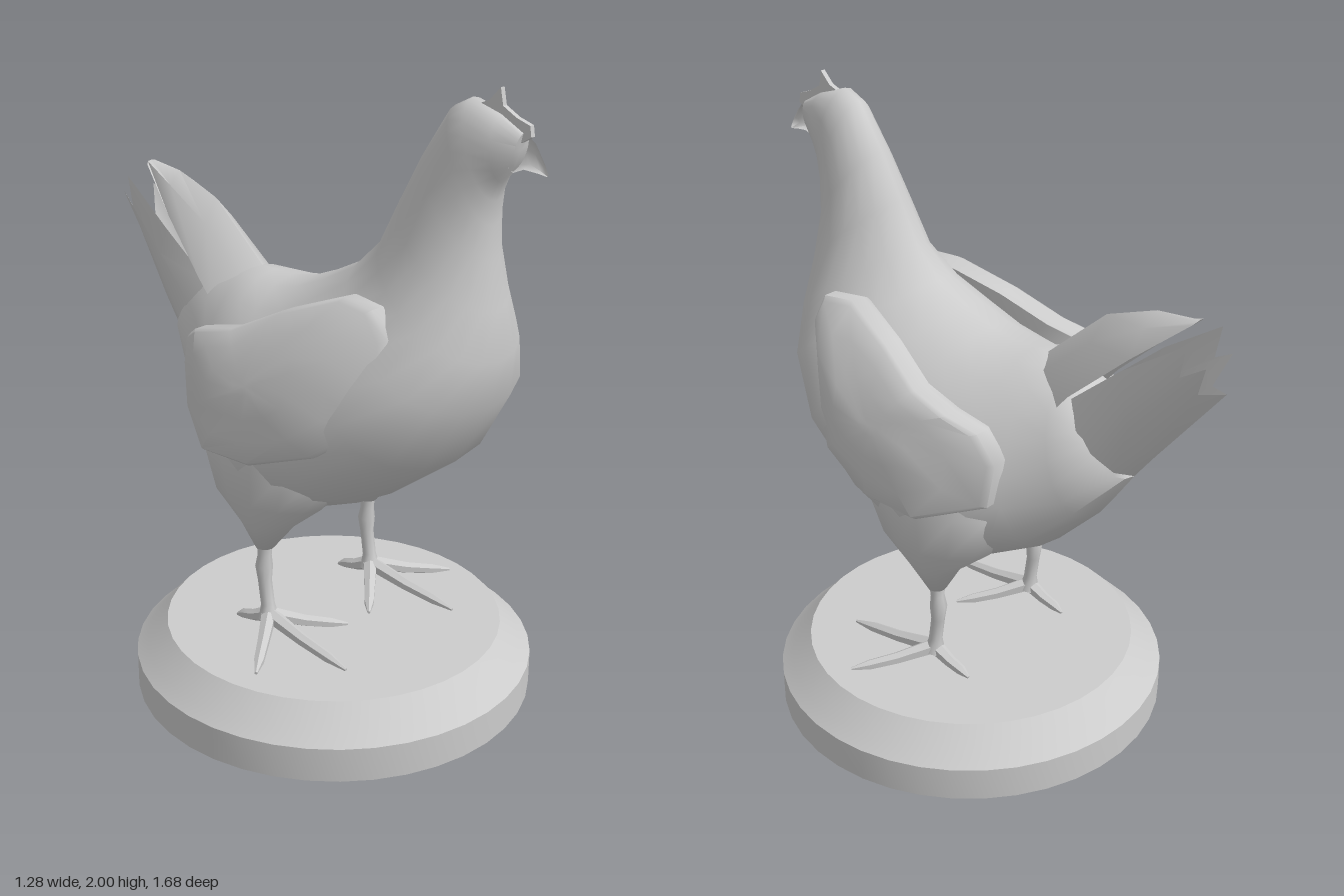
import * as THREE from 'three';
import { toCreasedNormals } from 'three/addons/utils/BufferGeometryUtils.js';

const V = (x, y, z) => new THREE.Vector3(x, y, z);
const solid = new THREE.MeshStandardMaterial({ color: 0xcccccc });
const thin = new THREE.MeshStandardMaterial({ color: 0xcccccc, side: THREE.DoubleSide });

// Skin a list of cross-sections; closed rings get end caps, open rows make a sheet
function loft(rings, closed = true, crease = 0.9) {
  const n = rings[0].length, pts = rings.flat(), idx = [];
  const cols = closed ? n : n - 1;
  for (let i = 0; i < rings.length - 1; i++) {
    for (let j = 0; j < cols; j++) {
      const k = (j + 1) % n, a = i * n + j, b = i * n + k;
      idx.push(a, b, b + n, a, b + n, a + n);
    }
  }
  if (closed) {
    for (const end of [0, rings.length - 1]) {
      const c = pts.length;
      pts.push(rings[end].reduce((s, p) => s.add(p), V(0, 0, 0)).divideScalar(n));
      for (let j = 0; j < n; j++) {
        const a = end * n + j, b = end * n + (j + 1) % n;
        if (end) idx.push(c, a, b); else idx.push(c, b, a);
      }
    }
  }
  const g = new THREE.BufferGeometry().setFromPoints(pts);
  g.setIndex(idx);
  g.computeVertexNormals();
  return toCreasedNormals(g, crease);
}

// Round limb through points [x, y, z, radius]
function limb(path, sides = 8) {
  const p = path.map(q => V(q[0], q[1], q[2]));
  return loft(p.map((c, i) => {
    const d = p[Math.min(i + 1, p.length - 1)].clone().sub(p[Math.max(i - 1, 0)]).normalize();
    const ref = Math.abs(d.y) > 0.8 ? V(0, 0, 1) : V(0, 1, 0);
    const e1 = ref.addScaledVector(d, -ref.dot(d)).normalize();
    const e2 = d.clone().cross(e1);
    return Array.from({ length: sides }, (_, j) => {
      const t = j / sides * Math.PI * 2;
      return c.clone().addScaledVector(e1, path[i][3] * Math.cos(t)).addScaledVector(e2, path[i][3] * Math.sin(t));
    });
  }));
}

// Body-style loft from rows [topZ, topY, bottomZ, bottomY, halfWidth, pear]
function sections(rows, sides = 20) {
  return loft(rows.map(([tz, ty, bz, by, w, k = 0]) => Array.from({ length: sides }, (_, j) => {
    const t = j / sides * Math.PI * 2, u = Math.cos(t);
    return V(w * Math.sin(t) * (1 - k * u), (ty + by) / 2 + u * (ty - by) / 2, (tz + bz) / 2 + u * (tz - bz) / 2);
  })), true, 1.2);
}

// Sheet symmetric about x = 0, from half rows that start on the centre line
const mirrored = rows => loft(rows.map(r => [
  ...r.slice(1).reverse().map(([x, y, z]) => V(-x, y, z)),
  ...r.map(([x, y, z]) => V(x, y, z))]), false);

// Linear interpolation in a table of [key, value] with rising keys
function table(t, k) {
  if (k <= t[0][0]) return t[0][1];
  for (let i = 1; i < t.length; i++) {
    if (k <= t[i][0]) return THREE.MathUtils.mapLinear(k, t[i - 1][0], t[i][0], t[i - 1][1], t[i][1]);
  }
  return t[t.length - 1][1];
}

const wingOutline = [[.5, 1.16], [.51, 1.31], [.46, 1.39], [.35, 1.4], [.16, 1.33], [0, 1.25], [-.14, 1.22],
  [-.22, 1.17], [-.265, 1.07], [-.245, .93], [-.06, .87], [.14, .88], [.35, .95], [.49, 1.05]];
const wingByY = [[.87, .435], [1.07, .43], [1.2, .385], [1.33, .305], [1.4, .25]];
const wingByZ = [[-.27, .3], [-.05, .43], [.18, .43], [.3, .405], [.42, .335], [.52, .24]];

function wing(s) {
  const outline = s > 0 ? [...wingOutline].reverse() : wingOutline;
  // [scale of the outline, offset from the outer surface]
  const rings = [[.97, -.08], [1, -.055], [1, -.01], [.96, 0], [.7, .004], [.4, .006], [.1, .006]];
  return loft(rings.map(([k, dx]) => outline.map(([oz, oy]) => {
    const z = .12 + (oz - .12) * k, y = 1.12 + (oy - 1.12) * k;
    return V(s * (Math.min(table(wingByY, y), table(wingByZ, z)) + dx), y, z);
  })));
}

function thigh(s) {
  // [y, centre x, centre z, radius x, radius z]
  const rows = [[.51, .24, .02, .03, .03], [.6, .23, .03, .085, .09], [.7, .215, .03, .145, .21],
    [.86, .2, .04, .185, .29], [1.05, .18, .04, .16, .24]];
  return loft(rows.map(([y, cx, cz, rx, rz]) => Array.from({ length: 14 }, (_, j) => {
    const t = j / 14 * Math.PI * 2;
    return V(s * cx + rx * Math.sin(t), y, cz + rz * Math.cos(t));
  })), true, 1.2);
}

export function createModel() {
  const model = new THREE.Group();
  const add = (name, geometry, material = solid, parent = model) => {
    const m = new THREE.Mesh(geometry, material);
    m.name = name;
    parent.add(m);
    return m;
  };

  // Hollow round plinth, open underneath
  const profile = [[.64, 0], [.64, .11], [.605, .14], [.54, .21], [0, .21]].map(p => new THREE.Vector2(...p));
  add('plinth', toCreasedNormals(new THREE.LatheGeometry(profile, 40), .5), thin).position.z = .09;

  // Head, neck and trunk in one skin
  add('body', sections([
    [.765, 1.89, .74, 1.79, .03], [.69, 1.93, .70, 1.745, .06], [.59, 1.96, .68, 1.69, .082],
    [.53, 1.93, .675, 1.62, .09], [.44, 1.79, .68, 1.52, .11], [.365, 1.65, .70, 1.38, .15, .1],
    [.30, 1.52, .72, 1.24, .2, .2], [.21, 1.43, .69, 1.09, .28, .25], [.1, 1.375, .57, .89, .345, .25],
    [0, 1.335, .33, .71, .375, .25], [-.09, 1.32, .1, .615, .38, .25], [-.17, 1.32, -.08, .6, .34, .25],
    [-.24, 1.32, -.28, .7, .26, .2], [-.31, 1.3, -.43, .85, .185, .1], [-.38, 1.27, -.55, 1.02, .13]
  ]));

  // Hooked beak
  add('beak', sections([
    [.75, 1.9, .73, 1.775, .035], [.79, 1.87, .765, 1.79, .028],
    [.825, 1.82, .81, 1.787, .014], [.843, 1.79, .84, 1.783, .003]
  ], 8));

  // Small comb along the crown and brow
  const comb = new THREE.Shape([[.6, 1.94], [.65, 1.96], [.685, 1.998], [.695, 1.95], [.74, 1.925],
    [.785, 1.91], [.79, 1.88], [.74, 1.85]].map(p => new THREE.Vector2(...p)));
  const combGeometry = new THREE.ExtrudeGeometry(comb, { depth: .016, bevelEnabled: false });
  combGeometry.translate(0, 0, -.008).rotateY(-Math.PI / 2);
  add('comb', combGeometry);

  // Trough of lower tail feathers with notched tips
  add('lowerTail', mirrored([
    [[0, 1.02, -.55], [.075, 1.055, -.53], [.125, 1.12, -.48], [.13, 1.18, -.43], [.09, 1.25, -.38]],
    [[0, 1.11, -.62], [.065, 1.15, -.61], [.1, 1.23, -.59], [.112, 1.31, -.58], [.105, 1.4, -.56]],
    [[0, 1.38, -.84], [.035, 1.37, -.77], [.065, 1.47, -.81], [.085, 1.43, -.74], [.085, 1.53, -.76]]
  ]), thin);

  // Ridged upper tail feathers over the trough
  add('upperTail', mirrored([
    [[0, 1.31, -.21], [.07, 1.28, -.24], [.12, 1.2, -.33]],
    [[0, 1.5, -.43], [.06, 1.43, -.42], [.12, 1.27, -.39]],
    [[0, 1.56, -.6], [.05, 1.52, -.59], [.08, 1.43, -.57]],
    [[0, 1.572, -.74], [.015, 1.57, -.74], [.025, 1.56, -.73]]
  ]), thin);

  // Paired wings and legs
  for (const s of [1, -1]) {
    const side = s > 0 ? 'left' : 'right';
    add(side + 'Wing', wing(s));
    const leg = new THREE.Group();
    leg.name = side + 'Leg';
    model.add(leg);
    add('thigh', thigh(s), solid, leg);
    add('shank', limb([[s * .24, .54, .02, .027], [s * .24, .48, .018, .022], [s * .24, .44, .015, .028],
      [s * .24, .39, .018, .022], [s * .24, .31, .03, .022], [s * .24, .26, .035, .034]]), solid, leg);
    const toes = [[.46, .225, .2], [.255, .222, .38], [.05, .225, .2], [.24, .218, -.11]];
    for (const [x, y, z] of toes) {
      const mx = .24 + (x - .24) * .45, mz = .035 + (z - .035) * .45;
      add('toe', limb([[s * .24, .275, .035, .026], [s * mx, .245, mz, .02],
        [s * (mx + (x - mx) * .6), .232, mz + (z - mz) * .6, .017], [s * x, y, z, .005]], 6), solid, leg);
    }
  }
  return model;
}
